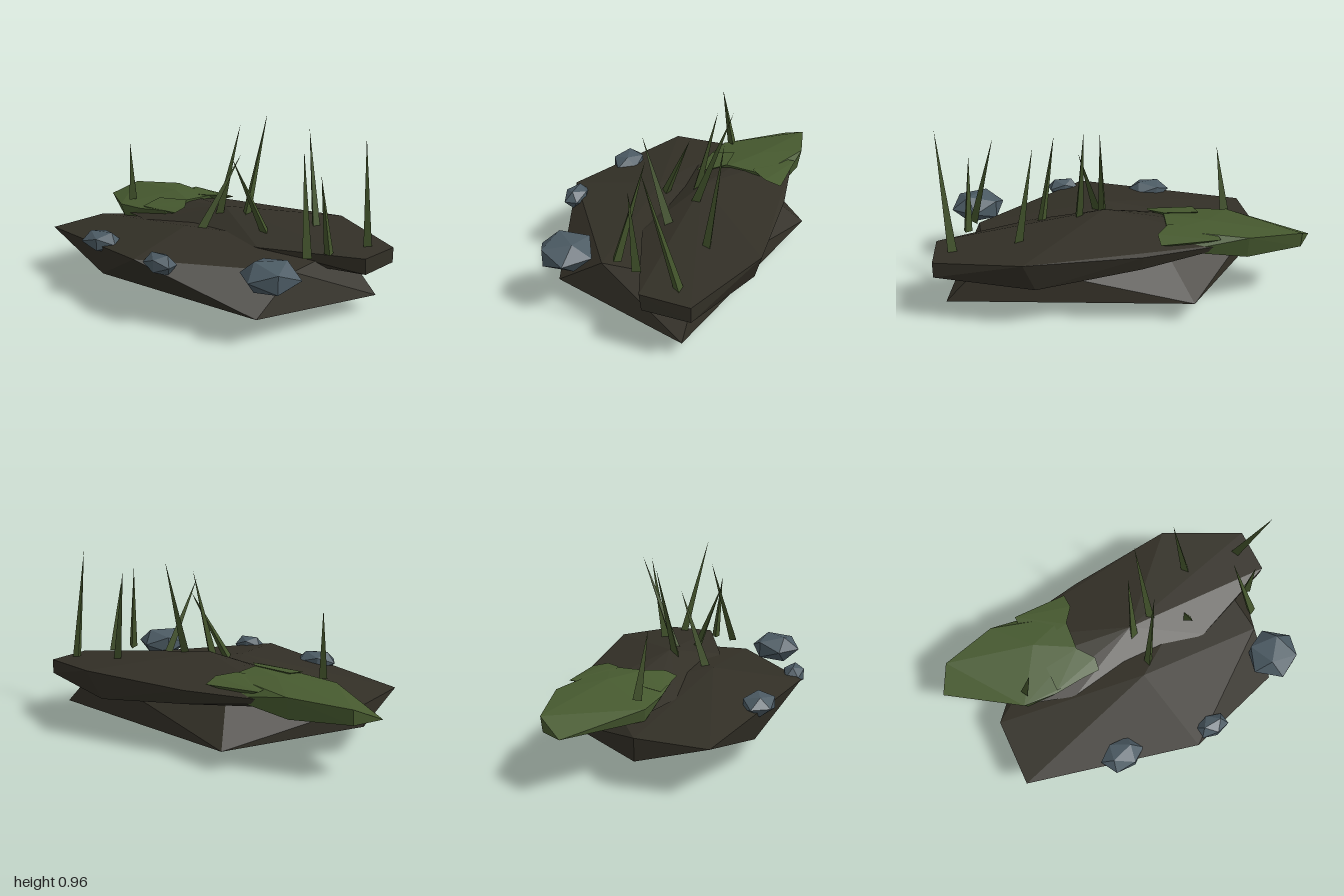
import * as THREE from 'three';
import { ConvexGeometry } from 'three/addons/geometries/ConvexGeometry.js';

const mat = (name, color) => {
  const m = new THREE.MeshStandardMaterial({ color, flatShading: true });
  m.name = name;
  return m;
};

export function createModel() {
  const rock = mat('dark brown rock', 0x322f26);
  const moss = mat('moss green', 0x46592f);
  const grass = mat('grass green', 0x42532b);
  const slate = mat('blue grey stone', 0x4b5a63);
  const model = new THREE.Group();
  model.name = 'mossyRocks';

  const add = (name, geometry, material) => {
    const mesh = new THREE.Mesh(geometry, material);
    mesh.name = name;
    model.add(mesh);
    return mesh;
  };
  // Faceted boulder around a few corner points
  const boulder = (name, material, corners) =>
    add(name, new ConvexGeometry(corners.map((c) => new THREE.Vector3(...c))), material);

  // Wide lower slab, tapering to a low point underneath
  boulder('lowerRock', rock, [
    [-0.13, 0, 0], [0.14, 0.34, 0.61], [-0.27, 0.125, 0.45], [0.75, 0.125, 0.4],
    [-0.79, 0.265, 0.36], [-0.78, 0.27, -0.02], [-0.78, 0.15, -0.02],
    [0.95, 0.085, -0.355], [-0.3, 0.105, -0.61],
    [0.77, 0.3, 0.14], [0.74, 0.3, -0.355], [-0.2, 0.29, -0.42], [0.05, 0.39, 0.13],
  ]);

  // Upper slab resting towards the back
  boulder('upperRock', rock, [
    [0.1, 0.455, -0.14], [0.56, 0.385, -0.615], [1, 0.34, -0.42], [0.99, 0.34, -0.16],
    [0.48, 0.34, 0.05], [-0.34, 0.33, 0.05], [-0.04, 0.36, -0.56], [-0.6, 0.36, -0.46],
    [-0.85, 0.33, -0.3], [-0.55, 0.32, -0.02],
    [1, 0.26, -0.42], [0.99, 0.255, -0.17], [0.5, 0.225, -0.565], [0.3, 0.225, -0.36],
    [0.4, 0.26, -0.02], [-0.04, 0.28, -0.53], [-0.6, 0.3, -0.25],
  ]);

  // Moss over the left end, with two tongues forming a ragged border
  boulder('mossCap', moss, [
    [-1, 0.31, -0.3], [-0.91, 0.38, -0.44], [-0.91, 0.3, -0.43], [-0.6, 0.405, -0.51],
    [-0.6, 0.29, -0.49], [-0.43, 0.428, -0.3], [-0.22, 0.425, -0.18], [-0.2, 0.42, -0.38],
    [-0.62, 0.36, -0.02], [-0.6, 0.29, -0.03], [-0.43, 0.37, 0], [-0.25, 0.39, -0.01],
    [-0.24, 0.34, -0.48], [-0.24, 0.34, -0.04],
  ]);
  boulder('mossBackTongue', moss, [
    [-0.45, 0.405, -0.51], [-0.14, 0.395, -0.51], [-0.14, 0.418, -0.42], [-0.21, 0.428, -0.33],
    [-0.45, 0.41, -0.3], [-0.3, 0.34, -0.42],
  ]);
  boulder('mossFrontTongue', moss, [
    [-0.42, 0.385, -0.01], [-0.16, 0.392, -0.01], [-0.15, 0.412, -0.08], [-0.22, 0.427, -0.17],
    [-0.42, 0.41, -0.15], [-0.3, 0.34, -0.08],
  ]);

  // Small stones along the front: centre, half sizes, turn
  const stones = [
    [[-0.255, 0.32, 0.465], [0.125, 0.06, 0.095], 0.4],
    [[0.26, 0.33, 0.545], [0.1, 0.06, 0.065], 0.1],
    [[0.775, 0.33, 0.33], [0.155, 0.09, 0.15], 0.9],
  ];
  stones.forEach(([centre, size, turn]) => {
    const g = new THREE.IcosahedronGeometry(1, 0).rotateY(turn).scale(...size);
    add('stone', g, slate).position.set(...centre);
  });

  // Leaning grass blades: root and tip
  const blades = [
    [[-0.58, 0.39, -0.08], [-0.54, 0.74, -0.03]],
    [[0.1, 0.41, -0.1], [0.13, 0.905, -0.23]],
    [[0.24, 0.41, -0.15], [0.225, 0.96, -0.345]],
    [[0.11, 0.37, 0.07], [0.23, 0.77, -0.115]],
    [[0.43, 0.38, -0.08], [0.34, 0.805, 0.1]],
    [[0.57, 0.38, -0.34], [0.48, 0.905, -0.385]],
    [[0.79, 0.35, 0.05], [0.67, 0.86, -0.065]],
    [[0.83, 0.35, -0.08], [0.8, 0.755, -0.03]],
    [[0.9, 0.35, -0.32], [0.955, 0.95, -0.17]],
  ];
  const up = new THREE.Vector3(0, 1, 0);
  blades.forEach(([root, tip], i) => {
    const a = new THREE.Vector3(...root);
    const d = new THREE.Vector3(...tip).sub(a);
    const length = d.length();
    const g = new THREE.ConeGeometry(0.027, length, 3).rotateY(i * 1.3).translate(0, length / 2, 0);
    const blade = add('grassBlade', g, grass);
    blade.position.copy(a);
    blade.quaternion.setFromUnitVectors(up, d.normalize());
  });

  return model;
}
